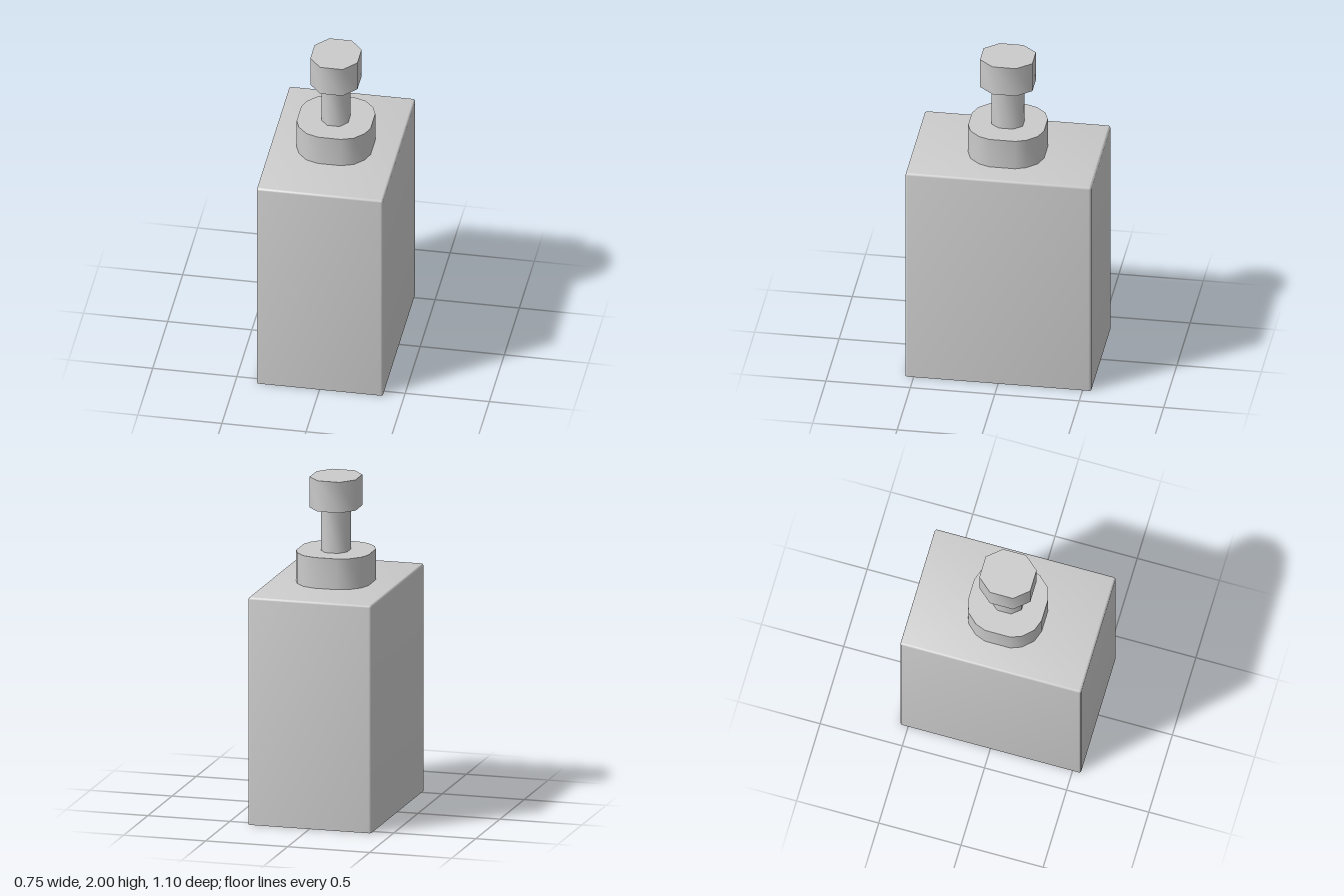
import * as THREE from 'three';
import { toCreasedNormals } from 'three/addons/utils/BufferGeometryUtils.js';

// Skin a stack of outlines { y, points: [[x, z], ...] }, capping the chosen ends
function loft(rings, capTop, capBottom, crease) {
  const n = rings[0].points.length;
  const pos = [], idx = [];
  for (const r of rings) for (const [x, z] of r.points) pos.push(x, r.y, z);
  for (let r = 0; r < rings.length - 1; r++) {
    for (let i = 0; i < n; i++) {
      const a = r * n + i, b = r * n + (i + 1) % n;
      idx.push(a, a + n, b + n, a, b + n, b);
    }
  }
  const cap = (start, y, up) => {
    const c = pos.length / 3;
    pos.push(0, y, 0);
    for (let i = 0; i < n; i++) {
      const a = start + i, b = start + (i + 1) % n;
      if (up) idx.push(c, b, a);
      else idx.push(c, a, b);
    }
  };
  const last = rings.length - 1;
  if (capTop) cap(last * n, rings[last].y, true);
  if (capBottom) cap(0, rings[0].y, false);
  const g = new THREE.BufferGeometry();
  g.setAttribute('position', new THREE.Float32BufferAttribute(pos, 3));
  g.setIndex(idx);
  return toCreasedNormals(g, crease);
}

// Mirror the points of the +x +z quarter into a full outline
function mirrored(quarter) {
  const back = [...quarter].reverse();
  return [
    ...quarter,
    ...back.map(([x, z]) => [-x, z]),
    ...quarter.map(([x, z]) => [-x, -z]),
    ...back.map(([x, z]) => [x, -z]),
  ];
}

// Rectangle with rounded corners
function roundedRect(hx, hz, r) {
  const quarter = [];
  for (let i = 0; i <= 3; i++) {
    const a = (i / 3) * Math.PI / 2;
    quarter.push([hx - r + r * Math.cos(a), hz - r + r * Math.sin(a)]);
  }
  return mirrored(quarter);
}

export function createModel() {
  const group = new THREE.Group();
  const material = new THREE.MeshStandardMaterial({ color: 0xcccccc, side: THREE.DoubleSide });
  const add = (name, geometry) => {
    const mesh = new THREE.Mesh(geometry, material);
    mesh.name = name;
    group.add(mesh);
  };

  // Bottle: open underneath, with a small rounded edge around the top
  const W = 0.375, D = 0.55, H = 1.37, R = 0.014;
  const rings = [{ y: 0, points: roundedRect(W, D, R) }];
  for (let i = 0; i <= 3; i++) {
    const a = (i / 3) * Math.PI / 2, inset = 0.99 * R * (1 - Math.cos(a));
    rings.push({ y: H - R + R * Math.sin(a), points: roundedRect(W - inset, D - inset, R - inset) });
  }
  add('bottle', loft(rings, true, false, 0.6));

  // Pump parts: faceted columns, slightly deeper than wide
  const column = (name, y0, y1, quarter) => {
    const points = mirrored(quarter);
    add(name, loft([{ y: y0, points }, { y: y1, points }], true, true, 0.9));
  };
  column('collar', H - 0.005, 1.555, [[0.22, 0.077], [0.196, 0.14], [0.14, 0.2], [0.068, 0.225]]);
  column('stem', 1.55, 1.82, [[0.08, 0.042], [0.038, 0.093]]);
  column('pumpHead', 1.815, 2, [[0.14, 0.07], [0.067, 0.155]]);

  return group;
}
